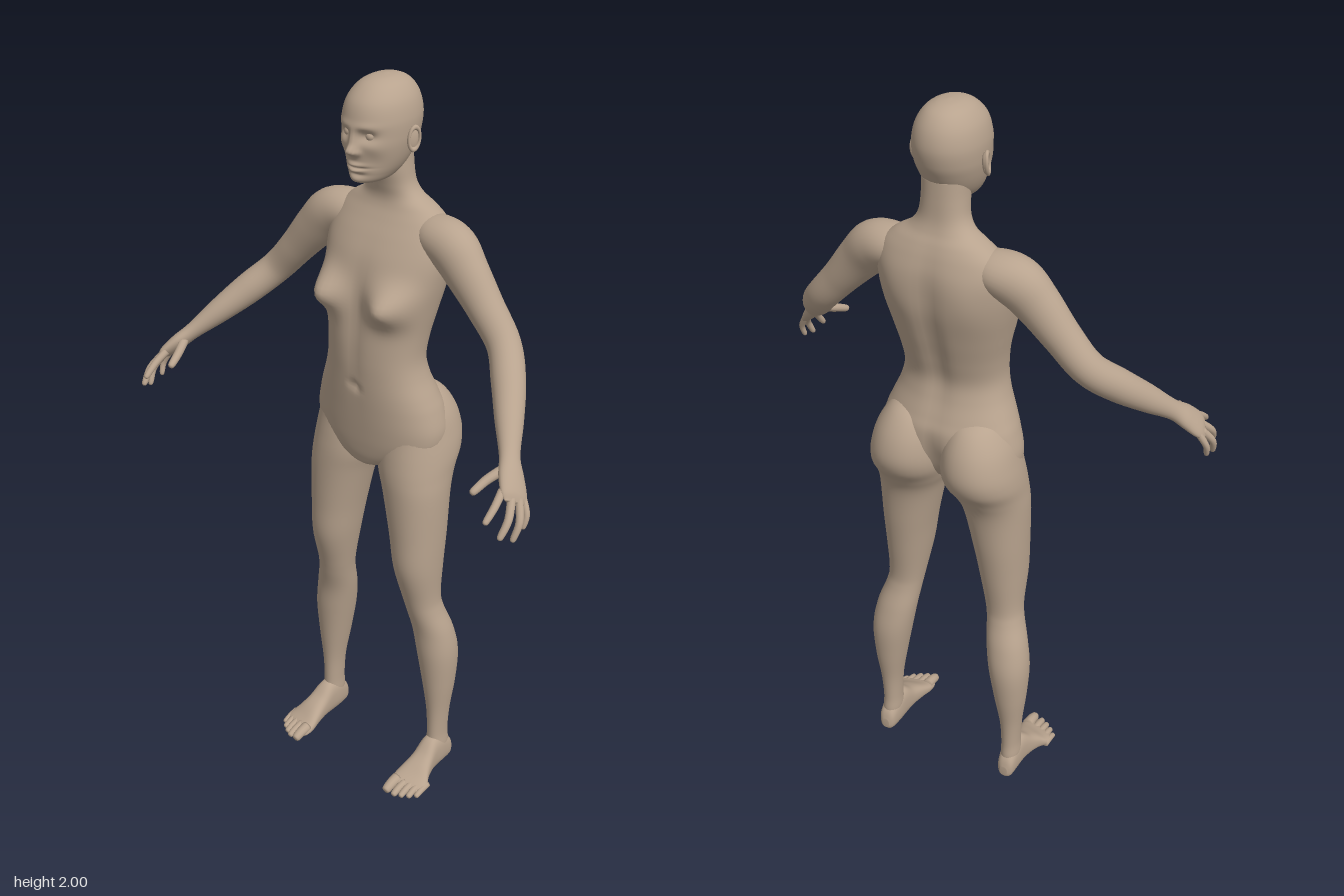
import * as THREE from 'three';

const skin = new THREE.MeshStandardMaterial({ color: 0xb8a38e });
skin.name = 'skin';

// Catmull-Rom interpolation through rows of numbers
function smooth(rows, steps) {
  const out = [], last = rows.length - 1;
  for (let i = 0; i < last; i++) {
    const [a, b, c, d] = [rows[Math.max(i - 1, 0)], rows[i], rows[i + 1], rows[Math.min(i + 2, last)]];
    for (let s = 0; s < steps; s++) {
      const t = s / steps;
      out.push(b.map((_, k) => 0.5 * (2 * b[k] + (c[k] - a[k]) * t
        + (2 * a[k] - 5 * b[k] + 4 * c[k] - d[k]) * t * t
        + (3 * b[k] - a[k] - 3 * c[k] + d[k]) * t * t * t)));
    }
  }
  out.push(rows[last].slice());
  return out;
}

// Closed smooth surface over a list of rings, wound outwards
function skinRings(rings) {
  const n = rings[0].length, pts = rings.flat(), idx = [];
  const centre = ring => ring.reduce((s, v) => s.add(v), new THREE.Vector3()).divideScalar(n);
  const first = pts.length, lastRow = (rings.length - 1) * n;
  pts.push(centre(rings[0]), centre(rings[rings.length - 1]));
  for (let j = 0; j < n; j++) {
    const k = (j + 1) % n;
    for (let i = 0; i < lastRow; i += n) idx.push(i + j, i + k, i + n + k, i + j, i + n + k, i + n + j);
    idx.push(first, k, j, first + 1, lastRow + j, lastRow + k);
  }
  let volume = 0;
  const cross = new THREE.Vector3();
  for (let i = 0; i < idx.length; i += 3) volume += pts[idx[i]].dot(cross.crossVectors(pts[idx[i + 1]], pts[idx[i + 2]]));
  if (volume < 0) idx.reverse();
  const g = new THREE.BufferGeometry().setFromPoints(pts);
  g.setIndex(idx);
  g.computeVertexNormals();
  return g;
}

const spow = (v, p) => Math.sign(v) * Math.abs(v) ** p;

// Rounded sections: rows of [height, x0, x1, d0, d1]; place maps (x, height, d) to space
function sections(rows, steps, n, p, place) {
  return skinRings(smooth(rows, steps).map(([h, x0, x1, d0, d1]) =>
    Array.from({ length: n }, (_, j) => {
      const a = j / n * Math.PI * 2;
      return place((x0 + x1) / 2 + (x1 - x0) / 2 * spow(Math.cos(a), p), h,
        (d0 + d1) / 2 + (d0 - d1) / 2 * spow(Math.sin(a), p));
    })));
}

// Limb along a path: rows of [x, y, z, thickness, breadth], mirrored by side
function limb(rows, side, steps = 6, n = 20, ref = new THREE.Vector3(0, 0, 1)) {
  const path = smooth(rows, steps), at = i => new THREE.Vector3(...path[i].slice(0, 3));
  return skinRings(path.map((r, i) => {
    const t = at(Math.min(i + 1, path.length - 1)).sub(at(Math.max(i - 1, 0))).normalize();
    const u = t.clone().cross(ref).normalize(), v = t.clone().cross(u);
    return Array.from({ length: n }, (_, j) => {
      const a = j / n * Math.PI * 2;
      const q = at(i).addScaledVector(u, Math.cos(a) * r[3]).addScaledVector(v, Math.sin(a) * r[4]);
      q.x *= side;
      return q;
    });
  }));
}

// Digit with a rounded tip through base, joint and tip
function digit(base, joint, tip, r, side, ref) {
  const end = tip.map((v, k) => v - (tip[k] - joint[k]) * 0.16);
  const row = (p, f) => [...p, r * f, r * f];
  return limb([row(base, 1.1), row(joint, 1), row(end, 0.8), row(tip, 0.15)], side, 5, 12, ref);
}

// Soft relief: bumps of [x, y, widthX, widthY, push, face], mirrored in x
function relief(bumps) {
  return (x, y, z) => {
    let dz = 0;
    for (const [bx, by, sx, sy, push, face] of bumps) {
      const w = THREE.MathUtils.clamp((z + 0.08) * face / 0.05, 0, 1);
      dz += w * push * Math.exp(-0.5 * (((Math.abs(x) - bx) / sx) ** 2 + ((y - by) / sy) ** 2));
    }
    return new THREE.Vector3(x, y, z + dz);
  };
}

const symmetric = rows => rows.map(([y, w, zf, zb]) => [y, -w, w, zf, zb]);

export function createModel() {
  const model = new THREE.Group();
  const add = (name, geometry, parent = model) => {
    const m = new THREE.Mesh(geometry, skin);
    m.name = name;
    parent.add(m);
    return m;
  };

  // Torso and neck
  add('torso', sections(symmetric([
    [0.972, 0.012, -0.05, -0.08], [0.985, 0.05, -0.005, -0.12], [1.01, 0.12, 0.008, -0.15],
    [1.05, 0.18, 0.015, -0.18], [1.1, 0.193, 0.02, -0.195], [1.16, 0.18, 0.025, -0.195],
    [1.2, 0.165, 0.028, -0.182], [1.25, 0.145, 0.031, -0.165], [1.3, 0.135, 0.033, -0.158],
    [1.36, 0.139, 0.032, -0.172], [1.43, 0.152, 0.026, -0.192], [1.5, 0.166, 0.015, -0.208],
    [1.56, 0.174, -0.003, -0.212], [1.61, 0.172, -0.028, -0.21], [1.65, 0.155, -0.052, -0.2],
    [1.68, 0.122, -0.068, -0.188], [1.705, 0.083, -0.073, -0.175], [1.735, 0.063, -0.068, -0.166],
    [1.78, 0.057, -0.058, -0.162], [1.83, 0.055, -0.06, -0.16]]), 6, 64, 0.9, relief([
    [0.1, 1.462, 0.036, 0.033, 0.058, 1], [0, 1.45, 0.022, 0.07, -0.008, 1],
    [0, 1.225, 0.007, 0.009, -0.01, 1], [0, 1.32, 0.012, 0.08, -0.004, 1],
    [0, 1.42, 0.02, 0.14, 0.013, -1], [0.095, 1.56, 0.04, 0.05, -0.008, -1],
    [0, 1.07, 0.015, 0.05, 0.02, -1]])));

  // Head with the face shaped by relief
  const head = new THREE.Group();
  head.name = 'head';
  model.add(head);
  add('skullAndFace', sections(symmetric([
    [2.0, 0.004, -0.085, -0.095], [1.995, 0.03, -0.045, -0.128], [1.98, 0.055, -0.012, -0.157],
    [1.95, 0.075, 0.017, -0.178], [1.91, 0.084, 0.03, -0.187], [1.87, 0.083, 0.031, -0.181],
    [1.84, 0.078, 0.029, -0.168], [1.81, 0.069, 0.026, -0.15], [1.785, 0.057, 0.022, -0.128],
    [1.765, 0.041, 0.014, -0.1], [1.755, 0.018, -0.01, -0.075]]), 12, 96, 0.95, relief([
    [0.032, 1.878, 0.014, 0.01, -0.013, 1], [0.03, 1.9, 0.02, 0.007, 0.004, 1],
    [0, 1.867, 0.008, 0.018, 0.011, 1], [0, 1.844, 0.009, 0.009, 0.02, 1],
    [0.012, 1.839, 0.005, 0.005, 0.007, 1], [0.052, 1.852, 0.014, 0.013, 0.004, 1],
    [0.045, 1.815, 0.014, 0.016, -0.004, 1], [0, 1.808, 0.016, 0.004, 0.008, 1],
    [0, 1.801, 0.02, 0.002, -0.006, 1], [0, 1.794, 0.014, 0.004, 0.009, 1],
    [0, 1.784, 0.016, 0.004, -0.004, 1], [0, 1.768, 0.018, 0.01, 0.009, 1]])));

  for (const side of [1, -1]) {
    const label = side > 0 ? 'left' : 'right';

    // Eye and ear
    add(label + 'Eye', new THREE.SphereGeometry(0.0125, 20, 14), head).position.set(side * 0.032, 1.878, 0.005);
    const ear = new THREE.Group();
    ear.name = label + 'Ear';
    ear.position.set(side * 0.087, 1.862, -0.084);
    ear.rotation.set(-0.15, side * -0.35, 0);
    head.add(ear);
    add('earShell', new THREE.SphereGeometry(1, 20, 14), ear).scale.set(0.007, 0.028, 0.016);
    const rim = add('earRim', new THREE.TorusGeometry(0.022, 0.005, 10, 28), ear);
    rim.rotation.y = Math.PI / 2;
    rim.scale.set(0.68, 1.2, 1);
    rim.position.x = side * 0.005;

    // Arm running into the palm
    add(label + 'Arm', limb([
      [0.08, 1.625, -0.125, 0.035, 0.04], [0.135, 1.622, -0.122, 0.052, 0.06],
      [0.19, 1.603, -0.115, 0.062, 0.06], [0.238, 1.556, -0.108, 0.057, 0.052],
      [0.3, 1.485, -0.103, 0.047, 0.046], [0.365, 1.412, -0.092, 0.042, 0.043],
      [0.42, 1.352, -0.038, 0.041, 0.042], [0.47, 1.295, 0.025, 0.033, 0.036],
      [0.515, 1.243, 0.083, 0.022, 0.027], [0.542, 1.213, 0.113, 0.02, 0.035],
      [0.568, 1.183, 0.137, 0.015, 0.038], [0.58, 1.17, 0.15, 0.005, 0.028]], side, 7, 28));

    // Fingers and thumb
    const hand = new THREE.Group();
    hand.name = label + 'Fingers';
    model.add(hand);
    [['thumb', [0.522, 1.222, 0.115], [0.504, 1.205, 0.155], [0.492, 1.183, 0.2], 0.0115],
      ['indexFinger', [0.55, 1.195, 0.158], [0.556, 1.172, 0.193], [0.556, 1.142, 0.233], 0.0095],
      ['middleFinger', [0.57, 1.18, 0.148], [0.588, 1.145, 0.183], [0.586, 1.103, 0.215], 0.0098],
      ['ringFinger', [0.58, 1.172, 0.132], [0.602, 1.132, 0.158], [0.599, 1.086, 0.18], 0.0092],
      ['littleFinger', [0.578, 1.172, 0.115], [0.598, 1.136, 0.125], [0.598, 1.1, 0.137], 0.0082],
    ].forEach(([name, a, b, c, r]) => add(name, digit(a, b, c, r, side), hand));

    // Leg, its top forming the buttock
    add(label + 'Leg', sections([
      [1.215, 0.075, 0.115, -0.07, -0.13], [1.19, 0.035, 0.15, -0.03, -0.185],
      [1.14, 0.012, 0.181, -0.006, -0.222], [1.08, 0.004, 0.198, 0.001, -0.238],
      [1.03, 0.005, 0.206, 0.008, -0.228], [0.98, 0.017, 0.208, 0.013, -0.194],
      [0.92, 0.038, 0.21, 0.014, -0.169], [0.8, 0.065, 0.208, 0.012, -0.155],
      [0.7, 0.082, 0.205, 0.008, -0.142], [0.6, 0.1, 0.201, -0.018, -0.13],
      [0.55, 0.108, 0.208, -0.03, -0.135], [0.48, 0.117, 0.229, -0.045, -0.156],
      [0.4, 0.13, 0.24, -0.05, -0.169], [0.3, 0.148, 0.235, -0.06, -0.162],
      [0.2, 0.165, 0.224, -0.07, -0.147], [0.12, 0.17, 0.22, -0.072, -0.142],
      [0.07, 0.17, 0.222, -0.07, -0.145], [0.03, 0.178, 0.212, -0.08, -0.135]],
    6, 40, 0.95, (x, y, z) => new THREE.Vector3(side * x, y, z)));

    // Foot, slanted back towards the little toe
    add(label + 'Foot', sections([
      [-0.157, 0.186, 0.208, 0.045, 0.015], [-0.145, 0.174, 0.22, 0.075, 0.003],
      [-0.11, 0.168, 0.224, 0.105, 0], [-0.07, 0.167, 0.226, 0.108, 0],
      [-0.03, 0.165, 0.234, 0.078, 0.002], [0.01, 0.159, 0.244, 0.057, 0.001],
      [0.04, 0.154, 0.254, 0.04, 0], [0.065, 0.156, 0.259, 0.028, 0.002],
      [0.08, 0.164, 0.25, 0.019, 0.008]], 6, 32, 0.8, (x, z, y) =>
      new THREE.Vector3(side * x, y, z - 0.35 * Math.max(0, x - 0.165) * THREE.MathUtils.smoothstep(z, -0.05, 0.06))));

    // Toes
    const toes = new THREE.Group();
    toes.name = label + 'Toes';
    model.add(toes);
    [[0.172, 0.102, 0.0145], [0.197, 0.099, 0.0105], [0.216, 0.09, 0.01], [0.234, 0.078, 0.0095], [0.25, 0.062, 0.009]]
      .forEach(([x, z, r], i) => add('toe' + (i + 1),
        digit([x, r + 0.01, z - 0.055], [x, r + 0.006, z - 0.025], [x, r * 0.8, z], r, side, new THREE.Vector3(0, 1, 0)), toes));
  }
  return model;
}
